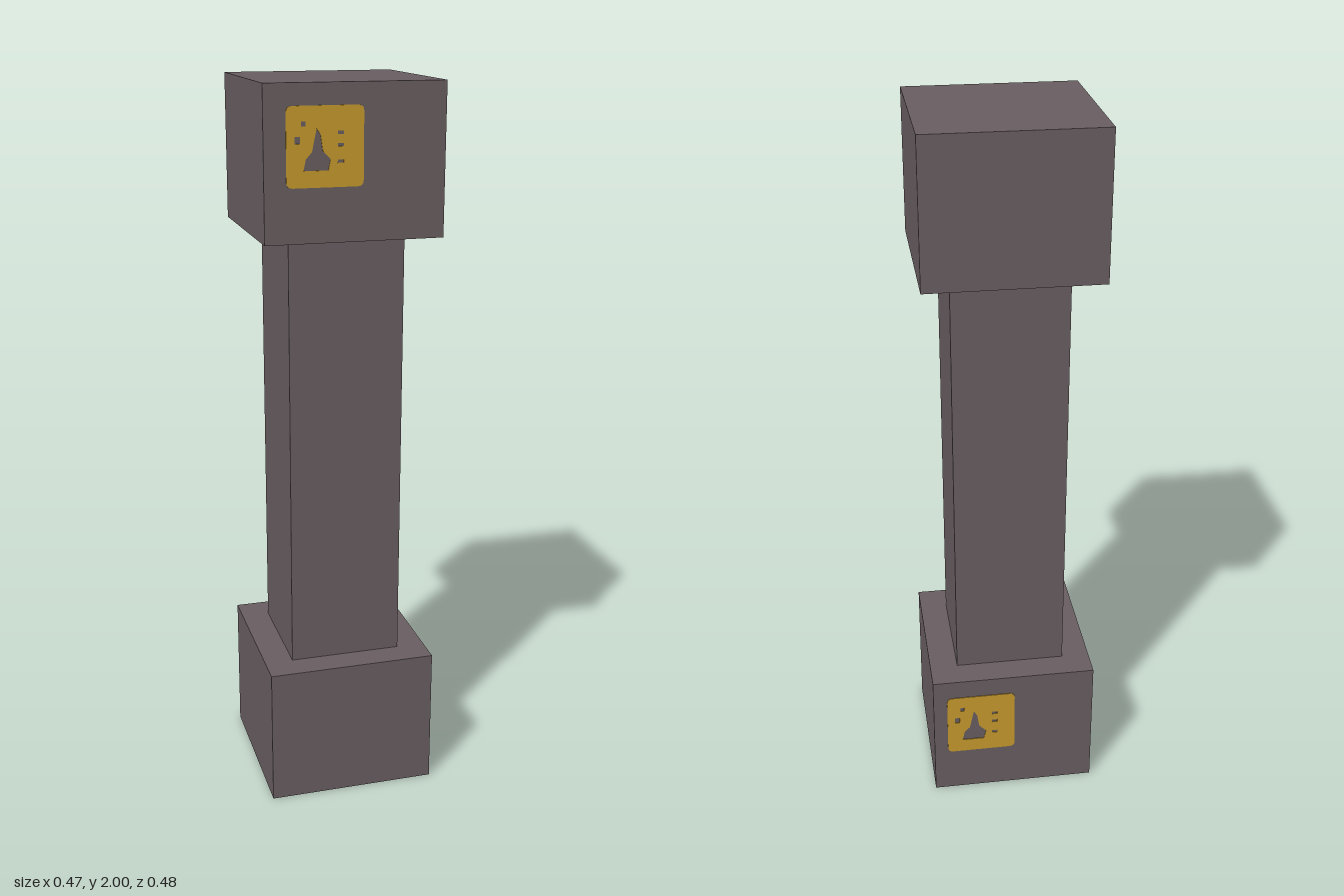
import * as THREE from 'three';

const stone = new THREE.MeshStandardMaterial({ color: 0x6a5f62 });
stone.name = 'greyStone';
const yellow = new THREE.MeshStandardMaterial({ color: 0xc89b2d });
yellow.name = 'signYellow';

const BLOCK = 0.474, BLOCK_H = 0.395, SHAFT = 0.315;

function box(name, width, y0, y1) {
  const mesh = new THREE.Mesh(new THREE.BoxGeometry(width, y1 - y0, width), stone);
  mesh.name = name;
  mesh.position.y = (y0 + y1) / 2;
  return mesh;
}

// Rounded square plate with cut-outs that let the stone show through
function signGeometry() {
  const h = 0.1, r = 0.016;
  const plate = new THREE.Shape();
  plate.moveTo(-h + r, -h);
  plate.lineTo(h - r, -h).quadraticCurveTo(h, -h, h, -h + r);
  plate.lineTo(h, h - r).quadraticCurveTo(h, h, h - r, h);
  plate.lineTo(-h + r, h).quadraticCurveTo(-h, h, -h, h - r);
  plate.lineTo(-h, -h + r).quadraticCurveTo(-h, -h, -h + r, -h);

  const hole = (points) => plate.holes.push(
    new THREE.Path(points.map(([x, y]) => new THREE.Vector2(x, y))));
  // Pointed central mark
  hole([[-0.056, -0.058], [-0.05, -0.03], [-0.034, -0.012], [-0.022, 0.045],
    [-0.012, 0.03], [-0.006, -0.01], [0.014, -0.03], [0.008, -0.058]]);
  // Small chips on both sides
  for (const [x, y, w, t] of [[-0.078, 0.008, 0.014, 0.018], [-0.062, 0.05, 0.012, 0.012],
    [0.032, 0.03, 0.016, 0.008], [0.032, 0, 0.016, 0.008], [0.032, -0.04, 0.016, 0.008]]) {
    hole([[x, y], [x, y + t], [x + w, y + t], [x + w, y]]);
  }
  return new THREE.ExtrudeGeometry(plate, { depth: 0.002, bevelEnabled: false, curveSegments: 4 });
}

export function createModel() {
  const group = new THREE.Group();
  group.name = 'pillar';
  group.add(
    box('baseBlock', BLOCK, 0, BLOCK_H),
    box('shaft', SHAFT, BLOCK_H, 2 - BLOCK_H),
    box('topBlock', BLOCK, 2 - BLOCK_H, 2),
  );

  // One sign on the front of the top block, one on the back of the base block
  const geometry = signGeometry();
  const frontSign = new THREE.Mesh(geometry, yellow);
  frontSign.name = 'frontSign';
  frontSign.position.set(-0.08, 1.845, BLOCK / 2);
  const backSign = new THREE.Mesh(geometry, yellow);
  backSign.name = 'backSign';
  backSign.position.set(0.097, 0.238, -BLOCK / 2);
  backSign.rotation.y = Math.PI;
  group.add(frontSign, backSign);
  return group;
}
